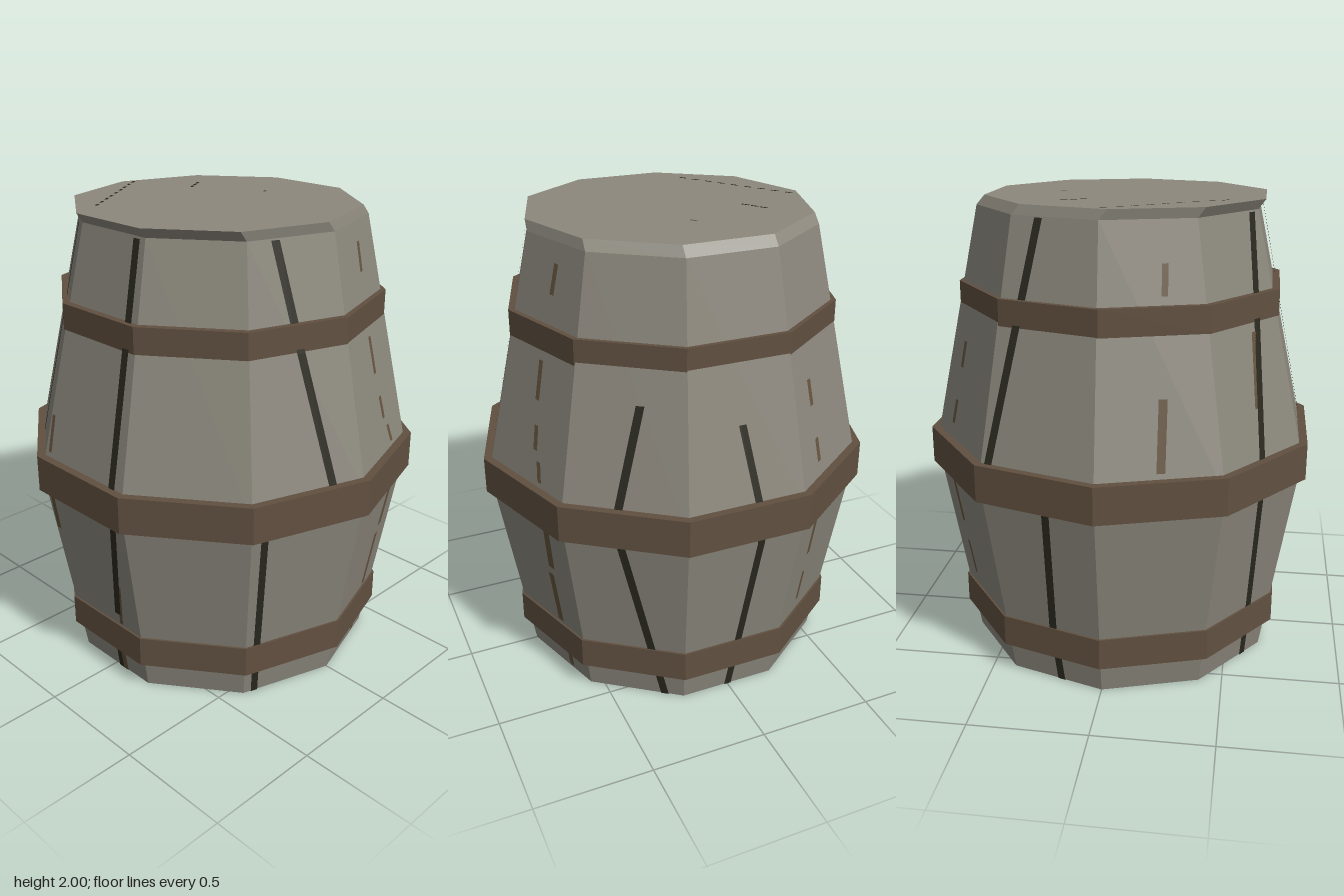
import * as THREE from 'three';

const SIDES = 10, STEP = Math.PI * 2 / SIDES;

// Barrel radius (to the corners) at a height
const radiusAt = y => y < 0.92
  ? 0.684 + (0.841 - 0.684) * y / 0.92
  : 0.841 + (0.612 - 0.841) * (y - 0.92) / 1.04;

// Ten-sided turned shape with hard facets and corners on the x axis
function facetedLathe(profile, adjust) {
  const points = profile.map(([r, y]) => new THREE.Vector2(r, y));
  const geo = new THREE.LatheGeometry(points, SIDES, Math.PI / 10).toNonIndexed();
  if (adjust) {
    const p = geo.attributes.position;
    for (let i = 0; i < p.count; i++) p.setZ(i, p.getZ(i) + adjust(p.getY(i)));
  }
  geo.computeVertexNormals();
  return geo;
}

// Point on one stave: u runs 0..1 across it, shift is a sideways distance
function stavePoint(stave, u, y, shift) {
  const r = radiusAt(y) + 0.004;
  const a = stave * STEP, b = a + STEP;
  const t = u + shift / (2 * r * Math.sin(STEP / 2));
  return [
    r * (Math.cos(a) * (1 - t) + Math.cos(b) * t), y,
    r * (Math.sin(a) * (1 - t) + Math.sin(b) * t),
  ];
}

// Thin painted strip following [y, u] points up a stave
function staveStrip(stave, width, path) {
  const pos = [];
  for (let i = 0; i < path.length - 1; i++) {
    const [y0, u0] = path[i], [y1, u1] = path[i + 1], h = width / 2;
    const a = stavePoint(stave, u0, y0, h), b = stavePoint(stave, u0, y0, -h);
    const c = stavePoint(stave, u1, y1, -h), d = stavePoint(stave, u1, y1, h);
    pos.push(...a, ...b, ...c, ...a, ...c, ...d);
  }
  const geo = new THREE.BufferGeometry();
  geo.setAttribute('position', new THREE.Float32BufferAttribute(pos, 3));
  geo.computeVertexNormals();
  return geo;
}

export function createModel() {
  const model = new THREE.Group();
  model.name = 'barrel';
  const material = (name, color) => {
    const m = new THREE.MeshStandardMaterial({ color });
    m.name = name;
    return m;
  };
  const wood = material('weathered grey wood', 0x8c887d);
  const iron = material('rusty brown iron', 0x615040);
  const dark = material('dark crack', 0x2b2a20);
  const stain = material('brown stain', 0x66543f);
  const add = (name, geo, mat, parent = model) => {
    const mesh = new THREE.Mesh(geo, mat);
    mesh.name = name;
    parent.add(mesh);
    return mesh;
  };

  // Body, with the top face pushed slightly forward
  add('body', facetedLathe(
    [[0, 0], [0.684, 0], [0.841, 0.92], [0.612, 1.96], [0.609, 2], [0, 2]],
    y => y > 1.99 ? 0.022 : y > 1.9 ? -0.01 : 0), wood);

  // Hoops
  const hoops = [['lowerHoop', 0.739, 0.133, 0.268], ['middleHoop', 0.86, 0.838, 0.997],
    ['upperHoop', 0.707, 1.535, 1.645]];
  for (const [name, r, y0, y1] of hoops) {
    add(name, facetedLathe([[r - 0.07, y0], [r, y0], [r, y1], [r - 0.07, y1]]), iron);
  }

  // Long cracks between the planks
  const cracks = new THREE.Group();
  cracks.name = 'cracks';
  model.add(cracks);
  const crackPaths = [
    [3, 0.036, [[0, 0.3], [0.27, 0.37], [0.83, 0.52], [0.92, 0.52], [1, 0.52], [1.65, 0.3], [1.955, 0.18]]],
    [2, 0.036, [[0.33, 0.3], [0.83, 0.13], [0.92, 0.13], [1.53, 0.11], [1.955, 0.09]]],
    [2, 0.03, [[0, 0.41], [0.12, 0.4]]],
    [0, 0.032, [[0, 0.88], [0.27, 0.885], [0.9, 0.885]]],
    [0, 0.036, [[0.92, 0.26], [1, 0.29], [1.53, 0.48], [1.955, 0.67]]],
    [8, 0.034, [[0, 0.2], [0.4, 0.38], [0.83, 0.54], [0.92, 0.56], [1, 0.55], [1.53, 0.35], [1.955, 0.17]]],
    [7, 0.032, [[0, 0.5], [0.27, 0.45], [0.8, 0.37], [0.92, 0.38], [1, 0.41], [1.955, 0.78]]],
    [5, 0.034, [[0, 0.45], [0.27, 0.48], [0.9, 0.42]]],
    [5, 0.034, [[0.92, 0.95], [1, 0.93], [1.955, 0.7]]],
  ];
  for (const [stave, width, path] of crackPaths) add('crack', staveStrip(stave, width, path), dark, cracks);

  // Short brown stains
  const stains = new THREE.Group();
  stains.name = 'stains';
  model.add(stains);
  const stainPaths = [
    [9, 0.025, [[1.76, 0.43], [1.88, 0.41]]], [9, 0.025, [[1.34, 0.46], [1.5, 0.47]]],
    [9, 0.025, [[1.14, 0.41], [1.24, 0.43]]], [9, 0.025, [[1.02, 0.31], [1.1, 0.35]]],
    [9, 0.04, [[0.6, 0.29], [0.82, 0.25]]], [9, 0.035, [[0.29, 0.33], [0.56, 0.32]]],
    [9, 0.03, [[0.02, 0.31], [0.1, 0.31]]],
    [6, 0.028, [[1.68, 0.72], [1.86, 0.74]]], [6, 0.028, [[1.3, 0.7], [1.48, 0.71]]],
    [6, 0.028, [[1.06, 0.69], [1.16, 0.69]]], [6, 0.03, [[0.6, 0.69], [0.82, 0.7]]],
    [6, 0.025, [[0.34, 0.68], [0.5, 0.69]]],
    [4, 0.035, [[1.02, 0.49], [1.3, 0.45]]], [4, 0.025, [[1.68, 0.4], [1.8, 0.38]]],
    [3, 0.03, [[1.2, 0.5], [1.5, 0.41]]],
    [2, 0.025, [[0.65, 0.95], [0.82, 0.93]]], [2, 0.018, [[1.02, 0.93], [1.18, 0.95]]],
    [2, 0.02, [[0.28, 0.27], [0.5, 0.2]]], [2, 0.03, [[0, 0.34], [0.13, 0.34]]],
  ];
  for (const [stave, width, path] of stainPaths) add('stain', staveStrip(stave, width, path), stain, stains);

  // Rows of specks on the lid
  const specks = new THREE.Group();
  specks.name = 'lidSpecks';
  model.add(specks);
  const rows = [[-0.58, -0.03, -0.24, 0.47, 9, dark], [-0.35, -0.21, -0.28, -0.1, 3, dark],
    [0, -0.28, 0.02, -0.25, 1, stain]];
  for (const [x0, z0, x1, z1, count, mat] of rows) {
    for (let i = 0; i < count; i++) {
      const t = (i + 0.5) / count;
      const speck = add('speck', new THREE.PlaneGeometry(0.012, 0.035).rotateX(-Math.PI / 2), mat, specks);
      speck.position.set(x0 + (x1 - x0) * t, 2.001, z0 + (z1 - z0) * t);
      speck.rotation.y = Math.atan2(x1 - x0, z1 - z0);
    }
  }
  return model;
}
